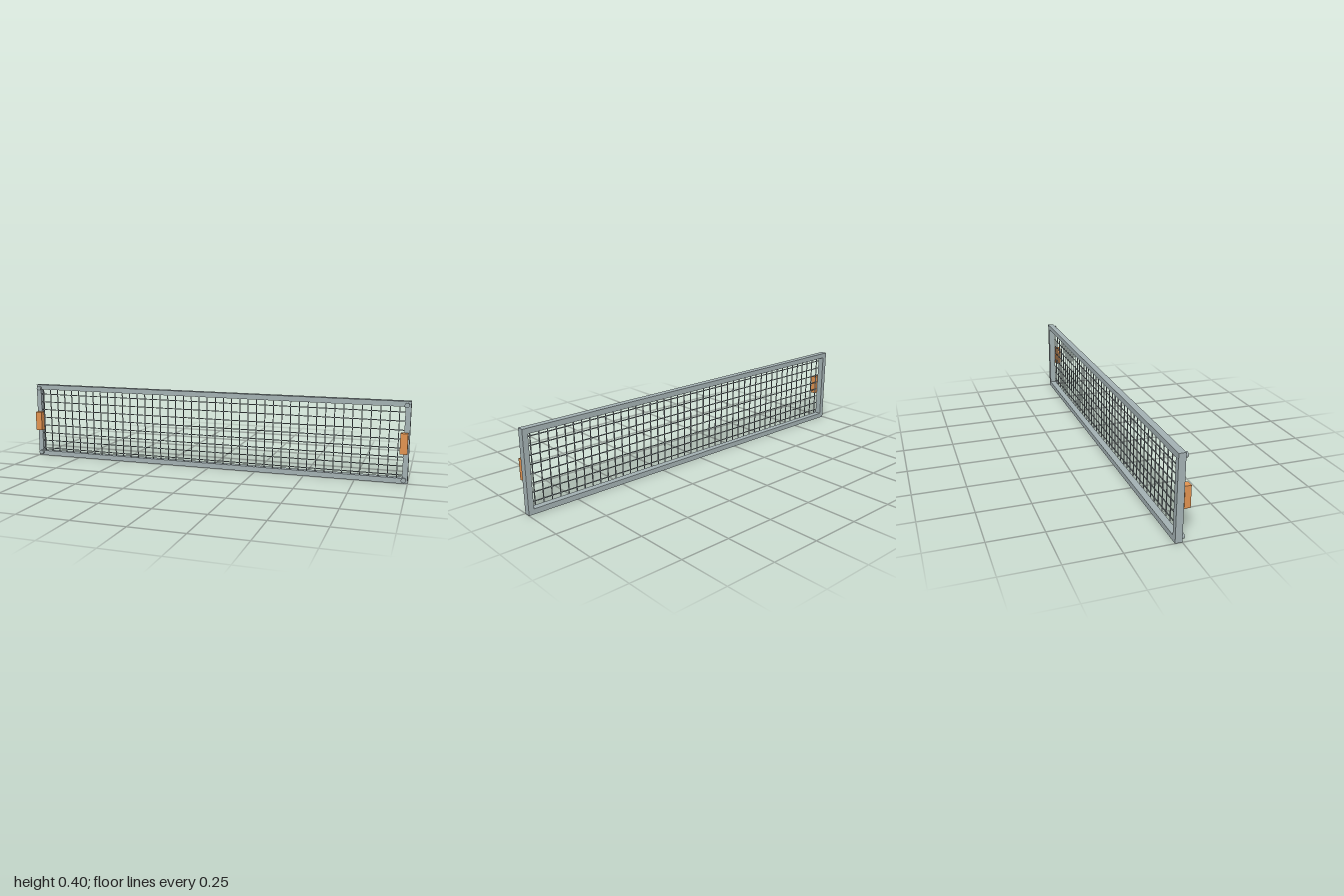
import * as THREE from 'three';

export function createModel() {
  const model = new THREE.Group();
  const steel = new THREE.MeshStandardMaterial({ color: 0xa3b1b3 });
  steel.name = 'lightSteel';
  const wire = new THREE.MeshStandardMaterial({ color: 0x8b9699 });
  wire.name = 'wireGrey';
  const copper = new THREE.MeshStandardMaterial({ color: 0xe29350 });
  copper.name = 'copper';

  const W = 2, H = 0.397, D = 0.032, RAIL = 0.026;
  const PITCH = 0.0433, WIRE = 0.004;

  function add(name, geometry, material, x, y, z, parent = model) {
    const mesh = new THREE.Mesh(geometry, material);
    mesh.name = name;
    mesh.position.set(x, y, z);
    parent.add(mesh);
    return mesh;
  }

  // Rectangular frame with an open middle
  const outline = new THREE.Shape();
  outline.moveTo(-W / 2, 0).lineTo(W / 2, 0).lineTo(W / 2, H).lineTo(-W / 2, H).closePath();
  const opening = new THREE.Path();
  const ix = W / 2 - RAIL;
  opening.moveTo(-ix, RAIL).lineTo(-ix, H - RAIL).lineTo(ix, H - RAIL).lineTo(ix, RAIL).closePath();
  outline.holes.push(opening);
  add('frame', new THREE.ExtrudeGeometry(outline, { depth: D, bevelEnabled: false }), steel, 0, 0, -D);

  // Square wire mesh on the front of the frame, crossbars over uprights
  const grid = new THREE.Group();
  grid.name = 'wireMesh';
  model.add(grid);
  const upright = new THREE.BoxGeometry(WIRE, H - 2 * RAIL, WIRE);
  for (let k = 1; k <= 45; k++) {
    add('verticalWire', upright, wire, -W / 2 + k * PITCH, H / 2, 0.0015, grid);
  }
  const crossbar = new THREE.BoxGeometry(2 * ix, WIRE, WIRE);
  for (let k = 1; k <= 8; k++) {
    add('horizontalWire', crossbar, wire, 0, k * PITCH, 0.003, grid);
  }

  // Corner bolts and side blocks, mirrored left and right
  const bolt = new THREE.CylinderGeometry(0.012, 0.012, 0.011, 16).rotateX(Math.PI / 2);
  const block = new THREE.BoxGeometry(0.035, 0.1, 0.028);
  for (const side of [-1, 1]) {
    const label = side > 0 ? 'left' : 'right';
    for (const y of [0.018, H - 0.018]) add(label + 'CornerBolt', bolt, steel, side * 0.981, y, 0.0075);
    add(label + 'Block', block, copper, side * 0.976, H / 2, 0.018);
  }
  return model;
}
